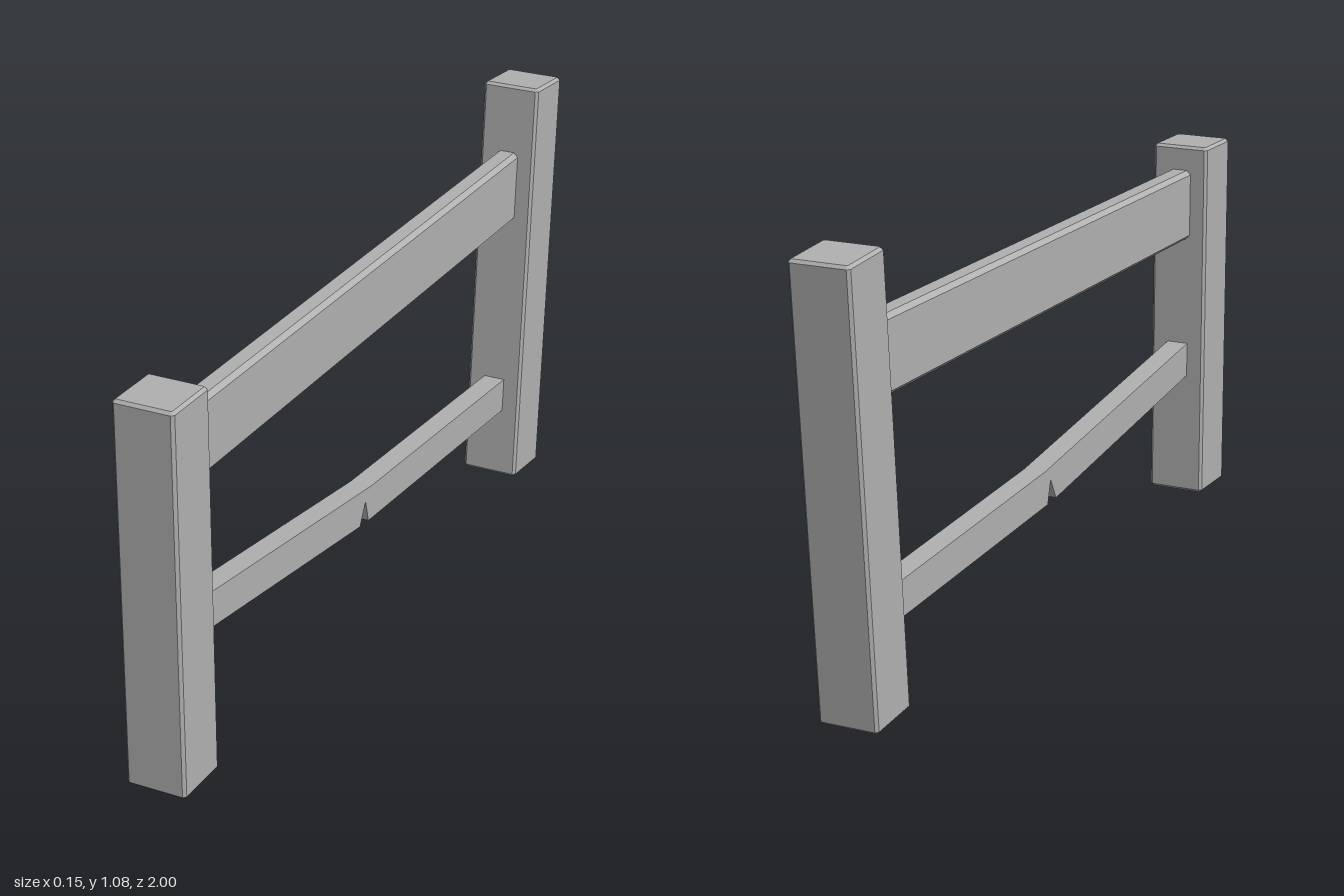
import * as THREE from 'three';

const wood = new THREE.MeshStandardMaterial({ color: 0xb0b0b0 });
wood.name = 'weathered grey';

// Rectangle with cut corners, centred on the origin
function cutRect(w, h, c) {
  const a = w / 2, b = h / 2;
  return new THREE.Shape([
    [-a + c, -b], [a - c, -b], [a, -b + c], [a, b - c],
    [a - c, b], [-a + c, b], [-a, b - c], [-a, -b + c],
  ].map(([x, y]) => new THREE.Vector2(x, y)));
}

// Square post with every edge chamfered, centred on the origin
function postGeometry(size, height, c) {
  const inner = size - 2 * c;
  const geo = new THREE.ExtrudeGeometry(cutRect(inner, inner, c * 0.4), {
    depth: height - 2 * c, bevelEnabled: true,
    bevelSize: c, bevelThickness: c, bevelSegments: 1,
  });
  geo.translate(0, 0, -(height - 2 * c) / 2);
  geo.rotateX(-Math.PI / 2);
  return geo;
}

export function createModel() {
  const fence = new THREE.Group();
  fence.name = 'brokenFence';
  const add = (name, geo, x = 0, y = 0, z = 0) => {
    const mesh = new THREE.Mesh(geo, wood);
    mesh.name = name;
    mesh.position.set(x, y, z);
    fence.add(mesh);
    return mesh;
  };

  // Upright front post and taller leaning back post
  add('frontPost', postGeometry(0.15, 0.946, 0.007), 0, 0.503, 0.924);
  add('backPost', postGeometry(0.15, 1.074, 0.007), 0, 0.546, -0.88).rotation.x = -0.08;

  // Straight upper rail with chamfered long edges
  const upper = new THREE.ExtrudeGeometry(cutRect(0.06, 0.184, 0.011), { depth: 1.71, bevelEnabled: false });
  add('upperRail', upper, 0, 0.82, -0.85);

  // Sagging lower rail, cracked open on its underside; points are [z, y]
  const profile = [
    [0.87, 0.357], [0.06, 0.25], [0.03, 0.305], [0.015, 0.246],
    [-0.82, 0.198], [-0.82, 0.286], [0.0, 0.334], [0.87, 0.446],
  ];
  const shape = new THREE.Shape(profile.map(([z, y]) => new THREE.Vector2(-z, y)));
  const lower = new THREE.ExtrudeGeometry(shape, { depth: 0.056, bevelEnabled: false });
  lower.translate(0, 0, -0.028);
  lower.rotateY(Math.PI / 2);
  add('lowerRail', lower);

  return fence;
}
